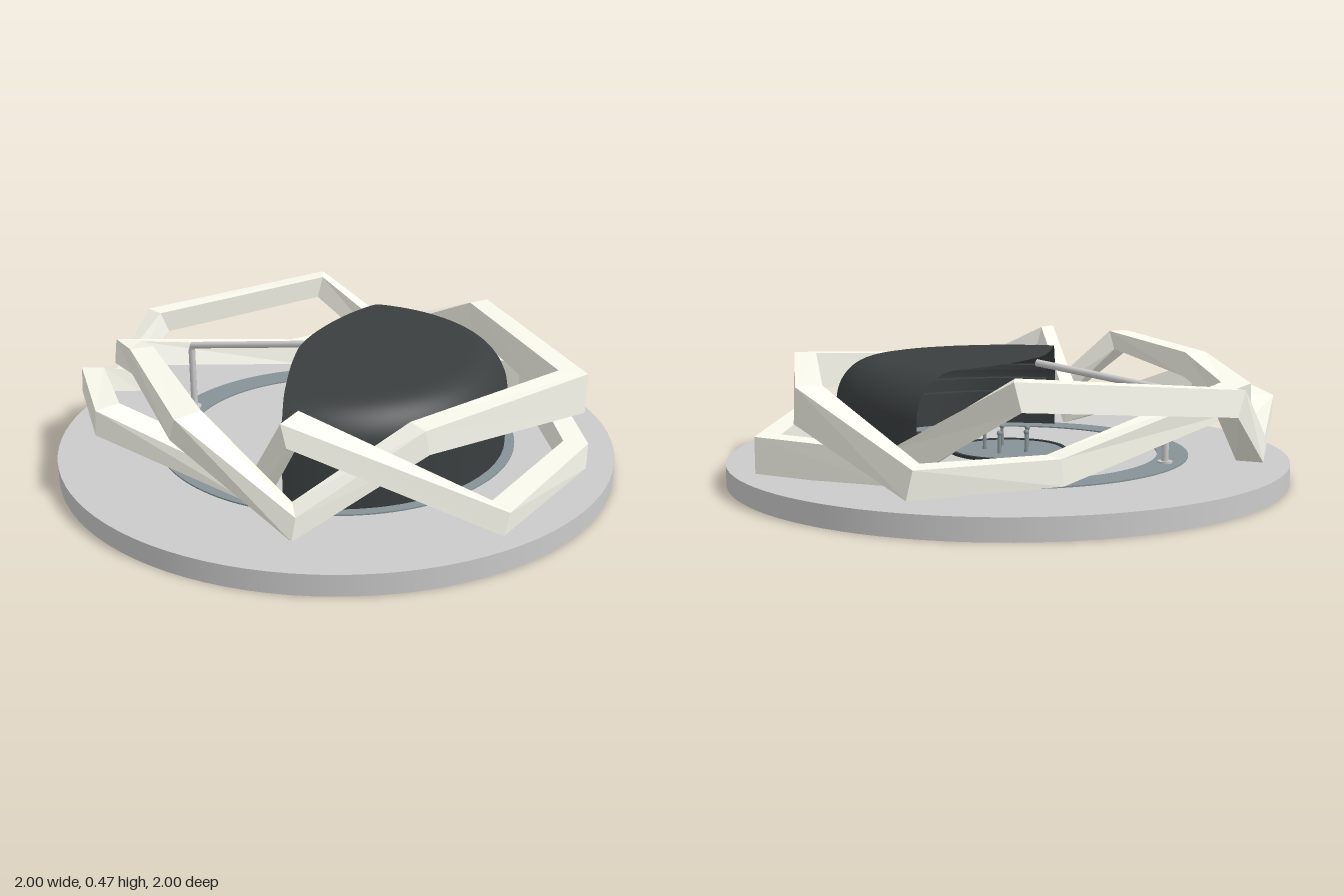
import * as THREE from 'three';
import { ParametricGeometry } from 'three/addons/geometries/ParametricGeometry.js';

const mat = (color, flatShading = false) =>
  new THREE.MeshStandardMaterial({ color, flatShading, side: THREE.DoubleSide });
const FLOOR = mat(0xcccccc), SLATE = mat(0x879397), DARK = mat(0x3a3e3f), BEAM = mat(0xfafaee, true);

function add(parent, name, geometry, material, x = 0, y = 0, z = 0) {
  const mesh = new THREE.Mesh(geometry, material);
  mesh.name = name;
  mesh.position.set(x, y, z);
  parent.add(mesh);
  return mesh;
}

// Flat ring or arc of a ring, from y0 to y1; angles run from +x towards +z
function ringGeometry(inner, outer, y0, y1, a0 = 0, a1 = Math.PI * 2) {
  const s = new THREE.Shape();
  s.absarc(0, 0, outer, a0, a1, false);
  if (a1 - a0 > 6.28) {
    const hole = new THREE.Path();
    hole.absarc(0, 0, inner, 0, Math.PI * 2, true);
    s.holes.push(hole);
  } else {
    s.absarc(0, 0, inner, a1, a0, true);
  }
  return new THREE.ExtrudeGeometry(s, { depth: y1 - y0, bevelEnabled: false, curveSegments: 64 })
    .rotateX(Math.PI / 2).translate(0, y1, 0);
}

// Closed beam, mitred at each corner; a point is x, y, z, beam height
function beamLoop(points, width) {
  const P = points.map(([x, y, z]) => new THREE.Vector3(x, y, z)), n = P.length;
  const pos = [], index = [], up = new THREE.Vector3(0, 1, 0);
  P.forEach((p, i) => {
    const d1 = p.clone().sub(P[(i + n - 1) % n]).normalize();
    const d2 = P[(i + 1) % n].clone().sub(p).normalize();
    const t = d1.clone().add(d2).normalize();
    const side = up.clone().cross(t).normalize();
    const top = t.clone().cross(side);
    const w = width / 2 * Math.min(1.4, 1 / t.dot(d1));
    const h = points[i][3] / 2;
    for (const [a, b] of [[-1, -1], [1, -1], [1, 1], [-1, 1]]) {
      const v = p.clone().addScaledVector(side, a * w).addScaledVector(top, b * h);
      pos.push(v.x, v.y, v.z);
    }
    for (let k = 0; k < 4; k++) {
      const a = i * 4 + k, b = i * 4 + (k + 1) % 4;
      const c = ((i + 1) % n) * 4 + k, d = ((i + 1) % n) * 4 + (k + 1) % 4;
      index.push(a, b, d, a, d, c);
    }
  });
  const g = new THREE.BufferGeometry();
  g.setAttribute('position', new THREE.Float32BufferAttribute(pos, 3));
  g.setIndex(index);
  g.computeVertexNormals();
  return g;
}

// Half dome: flat roof, rounded shoulder and upright wall, cut by a curved opening
const R = 0.615, A0 = -0.74, A1 = 2.24, BASE = 0.072, TOP = 0.418;
const SHOULDER = 0.14, DROP = 0.15;
function shellGeometry() {
  const rim = a => new THREE.Vector3(R * Math.cos(a), 0, R * Math.sin(a));
  const opening = new THREE.CatmullRomCurve3([
    rim(A0), ...[[0.27, -0.35], [0.085, -0.235], [-0.1, -0.06], [-0.2, 0.1]]
      .map(([x, z]) => new THREE.Vector3(x, 0, z)), rim(A1)]);
  const g = new ParametricGeometry((u, v, out) => {
    const t = u < 0.5 ? 0.5 * (2 * u) ** 3 : 1 - 0.5 * (2 - 2 * u) ** 3;
    const roof = Math.min(1, v / 0.8), wall = Math.max(0, (v - 0.8) / 0.2);
    out.copy(opening.getPoint(t)).lerp(rim(A0 + (A1 - A0) * t), 1 - (1 - roof) ** 3);
    const q = THREE.MathUtils.clamp((Math.hypot(out.x, out.z) - R + SHOULDER) / SHOULDER, 0, 1);
    const y = TOP - DROP * (1 - Math.sqrt(1 - q * q));
    out.y = THREE.MathUtils.lerp(y, BASE, wall);
  }, 80, 40);
  g.computeVertexNormals();
  return g;
}

export function createModel() {
  const model = new THREE.Group();
  model.name = 'pavilion';

  // Round floor, hollow underneath, with inlaid rings
  add(model, 'floor', new THREE.CircleGeometry(1, 96).rotateX(-Math.PI / 2), FLOOR, 0, 0.072);
  add(model, 'floorSkirt', new THREE.CylinderGeometry(1, 1, 0.072, 96, 1, true), FLOOR, 0, 0.036);
  add(model, 'floorRing', ringGeometry(0.54, 0.65, 0.067, 0.077), SLATE);
  add(model, 'stageDisc', new THREE.CylinderGeometry(0.2, 0.2, 0.004, 64), SLATE, 0, 0.076);
  add(model, 'stageTrim', ringGeometry(0.2, 0.213, 0.067, 0.083), DARK);

  // Small posts on the stage
  for (let i = 0; i < 5; i++) {
    const a = i * Math.PI * 0.4 + 0.4, post = new THREE.Group();
    post.name = 'stagePost';
    post.position.set(0.085 * Math.cos(a), 0.075, 0.085 * Math.sin(a));
    add(post, 'stem', new THREE.CylinderGeometry(0.006, 0.008, 0.07, 8), SLATE, 0, 0.035);
    add(post, 'knob', new THREE.SphereGeometry(0.01, 10, 8), SLATE, 0, 0.075);
    model.add(post);
  }

  // Canopy and the ledges inside it
  add(model, 'canopy', shellGeometry(), DARK);
  for (const y of [0.2, 0.255, 0.31])
    add(model, 'ledge', ringGeometry(0.54, 0.59, y, y + 0.02, A0 + 0.05, A1 - 0.05), DARK);

  // Strut that holds up the canopy edge
  const strut = new THREE.CurvePath();
  const s = [[-0.42, 0.07, -0.42], [-0.42, 0.33, -0.42], [-0.08, 0.4, -0.08]].map(p => new THREE.Vector3(...p));
  strut.add(new THREE.LineCurve3(s[0], s[1]));
  strut.add(new THREE.LineCurve3(s[1], s[2]));
  add(model, 'strut', new THREE.TubeGeometry(strut, 40, 0.013, 8), FLOOR);
  add(model, 'strutFoot', new THREE.CylinderGeometry(0.026, 0.026, 0.012, 16), FLOOR, -0.42, 0.078, -0.42);

  // Two interlaced angular beam loops
  add(model, 'outerBeamLoop', beamLoop([
    [0.14, 0.15, 0.93, 0.075], [-0.42, 0.435, 0.69, 0.075], [-0.44, 0.13, 0.43, 0.075],
    [-0.85, 0.31, 0.12, 0.09], [-0.8, 0.25, -0.41, 0.09], [-0.63, 0.15, -0.62, 0.09],
    [-0.46, 0.33, -0.77, 0.09], [0.26, 0.39, -0.81, 0.09], [0.53, 0.135, -0.46, 0.11],
    [0.875, 0.13, -0.1, 0.13], [0.61, 0.145, 0.63, 0.09]], 0.078), BEAM);
  add(model, 'innerBeamLoop', beamLoop([
    [0, 0.33, 0.68, 0.085], [-0.43, 0.14, 0.7, 0.08], [-0.69, 0.42, 0.51, 0.08],
    [-0.66, 0.385, -0.18, 0.09], [-0.65, 0.31, -0.49, 0.09], [0.1, 0.14, -0.7, 0.085],
    [0.56, 0.15, -0.76, 0.09], [0.78, 0.325, -0.34, 0.12], [0.64, 0.335, 0.54, 0.14]], 0.082), BEAM);

  return model;
}
